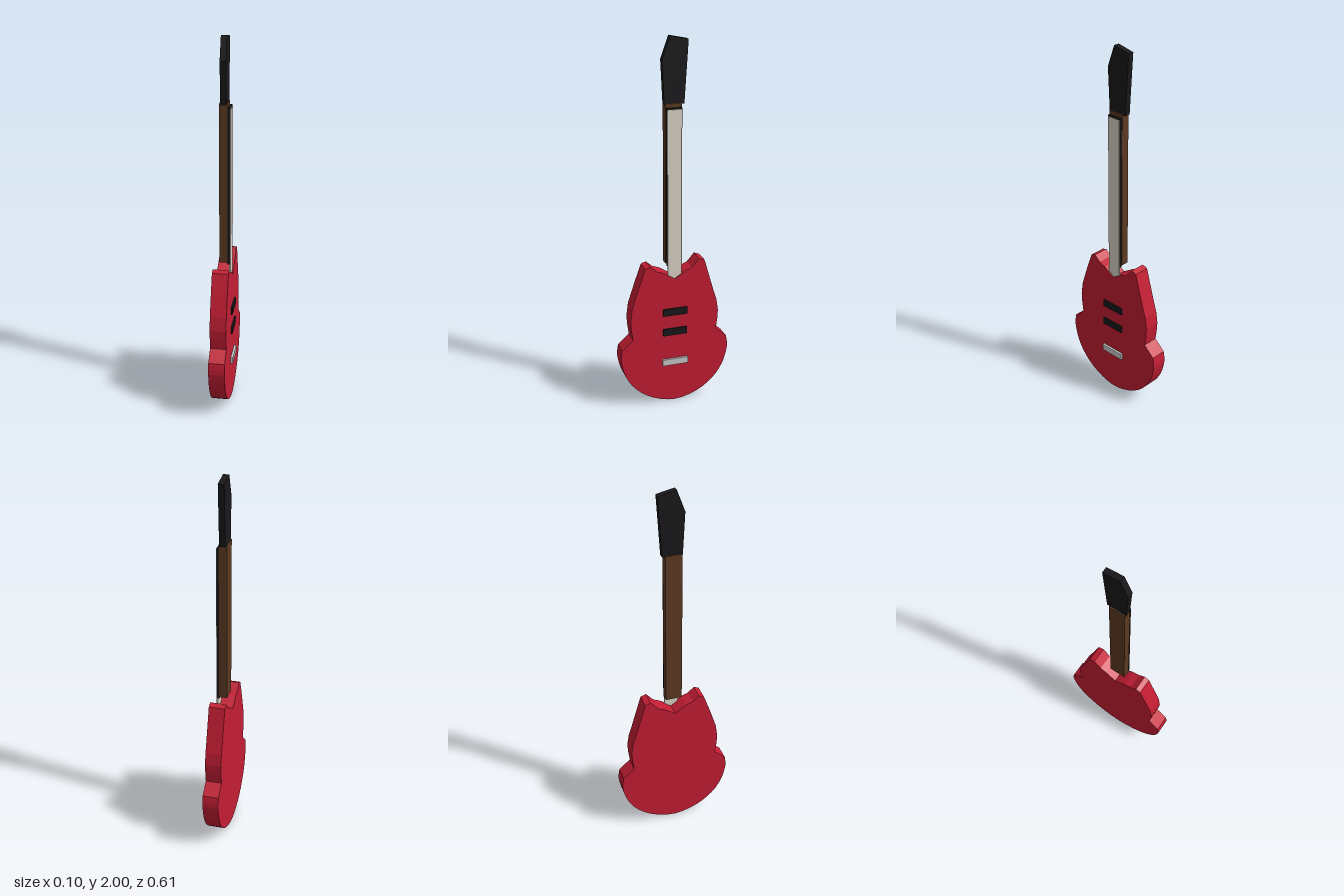
import * as THREE from 'three';

const mat = (color) => new THREE.MeshStandardMaterial({ color, flatShading: true });
const RED = mat(0xc41e34), BROWN = mat(0x5c3a22), BLACK = mat(0x19191b);
const IVORY = mat(0xdcd5c8), METAL = mat(0xbcbcc0);

export function createModel() {
  const model = new THREE.Group();
  model.name = 'electricGuitar';

  const add = (name, geometry, material) => {
    const mesh = new THREE.Mesh(geometry, material);
    mesh.name = name;
    model.add(mesh);
  };

  // Box given by its limits on x, y and z
  const box = (name, material, [x0, x1], [y0, y1], [z0, z1]) => {
    const g = new THREE.BoxGeometry(x1 - x0, y1 - y0, z1 - z0);
    g.translate((x0 + x1) / 2, (y0 + y1) / 2, (z0 + z1) / 2);
    add(name, g, material);
  };

  // Outline drawn facing +x (horizontal = -z), extruded between x0 and x1
  const slab = (name, material, points, x0, x1) => {
    const shape = new THREE.Shape(points.map(([h, y]) => new THREE.Vector2(h, y)));
    const g = new THREE.ExtrudeGeometry(shape, { depth: x1 - x0, bevelEnabled: false });
    g.rotateY(Math.PI / 2).translate(x0, 0, 0);
    add(name, g, material);
  };

  // Body: round lower bout, stepped waist and two uneven horns
  const bout = new THREE.SplineCurve([
    [-0.296, 0.345], [-0.302, 0.28], [-0.278, 0.185], [-0.222, 0.1], [-0.127, 0.032], [0, 0],
    [0.127, 0.032], [0.222, 0.1], [0.278, 0.185], [0.303, 0.28], [0.296, 0.345],
  ].map(([h, y]) => new THREE.Vector2(h, y))).getPoints(30).map((p) => [p.x, p.y]);
  slab('body', RED, [
    ...bout,
    [0.235, 0.4], [0.243, 0.46], [0.246, 0.51], [0.236, 0.575], [0.217, 0.635],
    [0.165, 0.815], [0.135, 0.826], [0.095, 0.78], [0.06, 0.765], [0, 0.726],
    [-0.06, 0.765], [-0.1, 0.78], [-0.135, 0.81], [-0.162, 0.8],
    [-0.198, 0.7], [-0.236, 0.585], [-0.246, 0.51], [-0.243, 0.46], [-0.235, 0.4],
  ], -0.05, 0.036);

  // Neck, fingerboard and the pale string strip
  box('neck', BROWN, [-0.029, 0.014], [0.81, 1.665], [-0.044, 0.044]);
  box('fingerboard', BLACK, [0.014, 0.026], [0.8, 1.645], [-0.041, 0.041]);
  box('strings', IVORY, [0.022, 0.03], [0.7, 1.638], [-0.037, 0.037]);

  // Slanted headstock
  slab('headstock', BLACK, [
    [-0.047, 1.66], [0.058, 1.66], [0.079, 1.98], [-0.016, 2], [-0.058, 1.885],
  ], -0.023, 0.008);

  // Pickups and bridge on the face
  for (const y of [0.42, 0.537]) {
    box('pickup', BLACK, [0.03, 0.044], [y - 0.02, y + 0.02], [-0.067, 0.067]);
  }
  box('bridge', METAL, [0.03, 0.048], [0.222, 0.258], [-0.071, 0.071]);

  return model;
}
